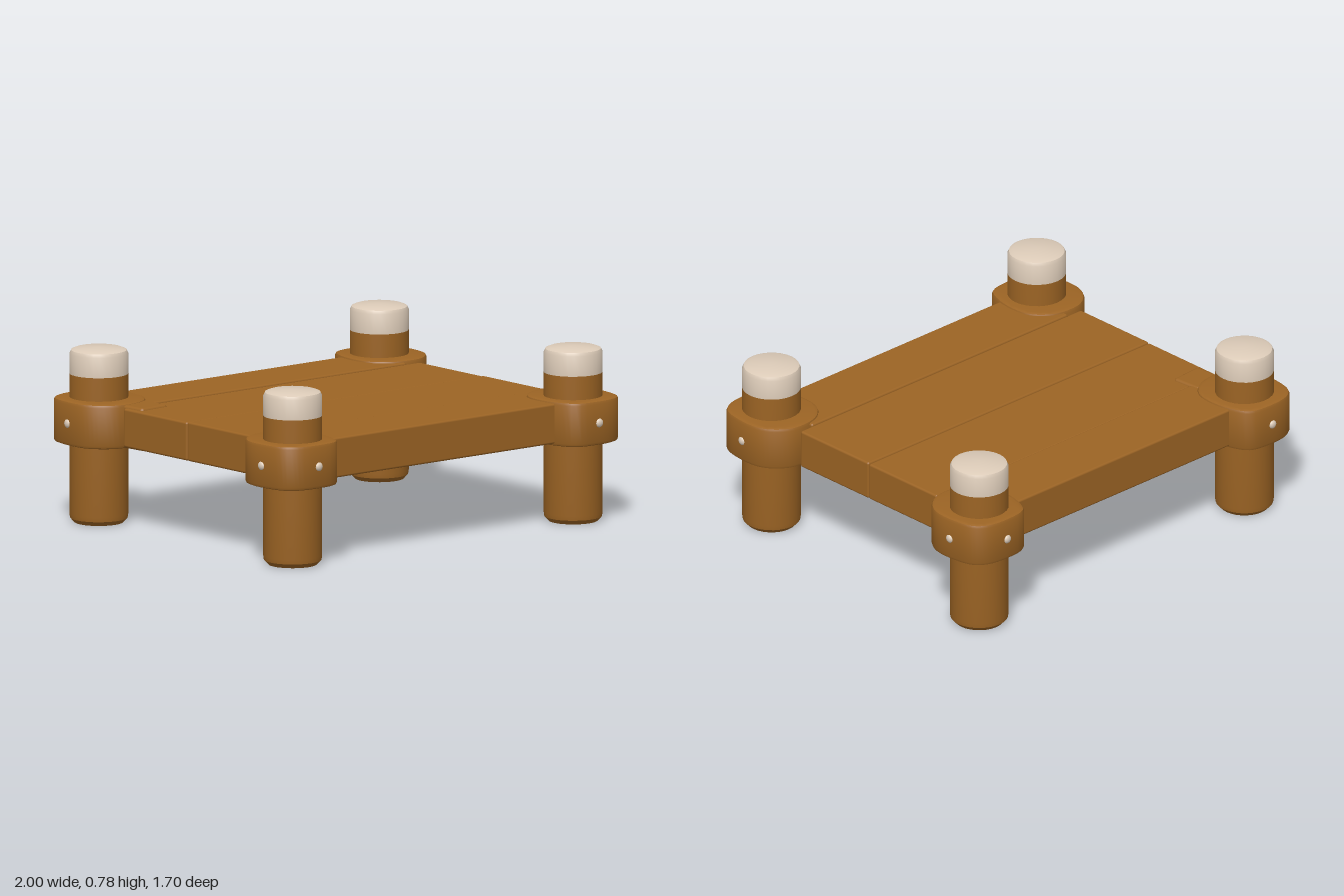
import * as THREE from 'three';
import { toCreasedNormals } from 'three/addons/utils/BufferGeometryUtils.js';
import { RoundedBoxGeometry } from 'three/addons/geometries/RoundedBoxGeometry.js';

const wood = new THREE.MeshStandardMaterial({ color: 0x9c6424 });
wood.name = 'brown wood';
const paint = new THREE.MeshStandardMaterial({ color: 0xdccbb8 });
paint.name = 'off-white paint';

function add(parent, name, geometry, material, x = 0, y = 0, z = 0) {
  const mesh = new THREE.Mesh(geometry, material);
  mesh.name = name;
  mesh.position.set(x, y, z);
  parent.add(mesh);
  return mesh;
}

function lathe(profile) {
  const points = profile.map(([r, y]) => new THREE.Vector2(r, y));
  return toCreasedNormals(new THREE.LatheGeometry(points, 28), 0.6);
}

// Collar outline for the +x +z corner, as [x, z]; mirrored for the others
const COLLAR = [
  [0.63, 0.62], [0.645, 0.74], [0.69, 0.82], [0.80, 0.84], [0.91, 0.825], [0.965, 0.78],
  [0.988, 0.69], [0.985, 0.57], [0.945, 0.5], [0.865, 0.45], [0.73, 0.46], [0.65, 0.53],
];

function collarGeometry(sx, sz) {
  const curve = new THREE.CatmullRomCurve3(
    COLLAR.map(([x, z]) => new THREE.Vector3(x * sx, -z * sz, 0)), true);
  const outline = curve.getPoints(48).slice(0, -1).map((p) => new THREE.Vector2(p.x, p.y));
  const bevel = 0.015;
  const geometry = new THREE.ExtrudeGeometry(new THREE.Shape(outline), {
    depth: 0.2 - 2 * bevel, bevelThickness: bevel, bevelSize: bevel,
    bevelOffset: -bevel, bevelSegments: 2,
  });
  geometry.rotateX(-Math.PI / 2);
  geometry.translate(0, 0.36 + bevel, 0);
  return toCreasedNormals(geometry, 0.6);
}

export function createModel() {
  const model = new THREE.Group();
  model.name = 'woodenPlatform';

  // Deck: four planks with narrow grooves, the outer two a touch higher
  const deck = new THREE.Group();
  deck.name = 'deck';
  model.add(deck);
  const planks = [
    [-0.735, -0.44, 0.78, 0.55], [-0.44, -0.005, 0.855, 0.543],
    [-0.005, 0.43, 0.855, 0.546], [0.43, 0.73, 0.78, 0.55],
  ];
  for (const [z0, z1, halfLength, top] of planks) {
    const height = top - 0.37;
    add(deck, 'plank', new RoundedBoxGeometry(2 * halfLength, height, z1 - z0 - 0.002, 2, 0.01),
      wood, 0, 0.37 + height / 2, (z0 + z1) / 2);
  }

  // Corner posts with painted tops, collars and bolts
  const postGeometry = lathe([[0, 0], [0.108, 0], [0.127, 0.02], [0.13, 0.04], [0.13, 0.665]]);
  const capGeometry = lathe([[0.13, 0.665], [0.13, 0.755], [0.123, 0.77], [0.105, 0.777], [0, 0.782]]);
  const boltGeometry = new THREE.SphereGeometry(0.02, 12, 8);
  boltGeometry.scale(1, 1, 0.65);
  for (const sx of [-1, 1]) {
    for (const sz of [-1, 1]) {
      const corner = new THREE.Group();
      corner.name = (sz > 0 ? 'front' : 'back') + (sx > 0 ? 'Left' : 'Right') + 'Corner';
      model.add(corner);
      const x = sx * 0.808;
      const z = sz * 0.66;
      add(corner, 'post', postGeometry, wood, x, 0, z);
      add(corner, 'paintedTop', capGeometry, paint, x, 0, z);
      add(corner, 'collar', collarGeometry(sx, sz), wood);
      add(corner, 'bolt', boltGeometry, paint, x, 0.46, sz * 0.838);
      add(corner, 'sideBolt', boltGeometry, paint, sx * 0.987, 0.46, z).rotation.y = Math.PI / 2;
    }
  }

  // Loose end of the binding on one collar
  const tab = add(model, 'collarTab', new RoundedBoxGeometry(0.16, 0.192, 0.15, 2, 0.015),
    wood, -0.76, 0.458, -0.415);
  tab.rotation.y = 0.08;

  return model;
}
